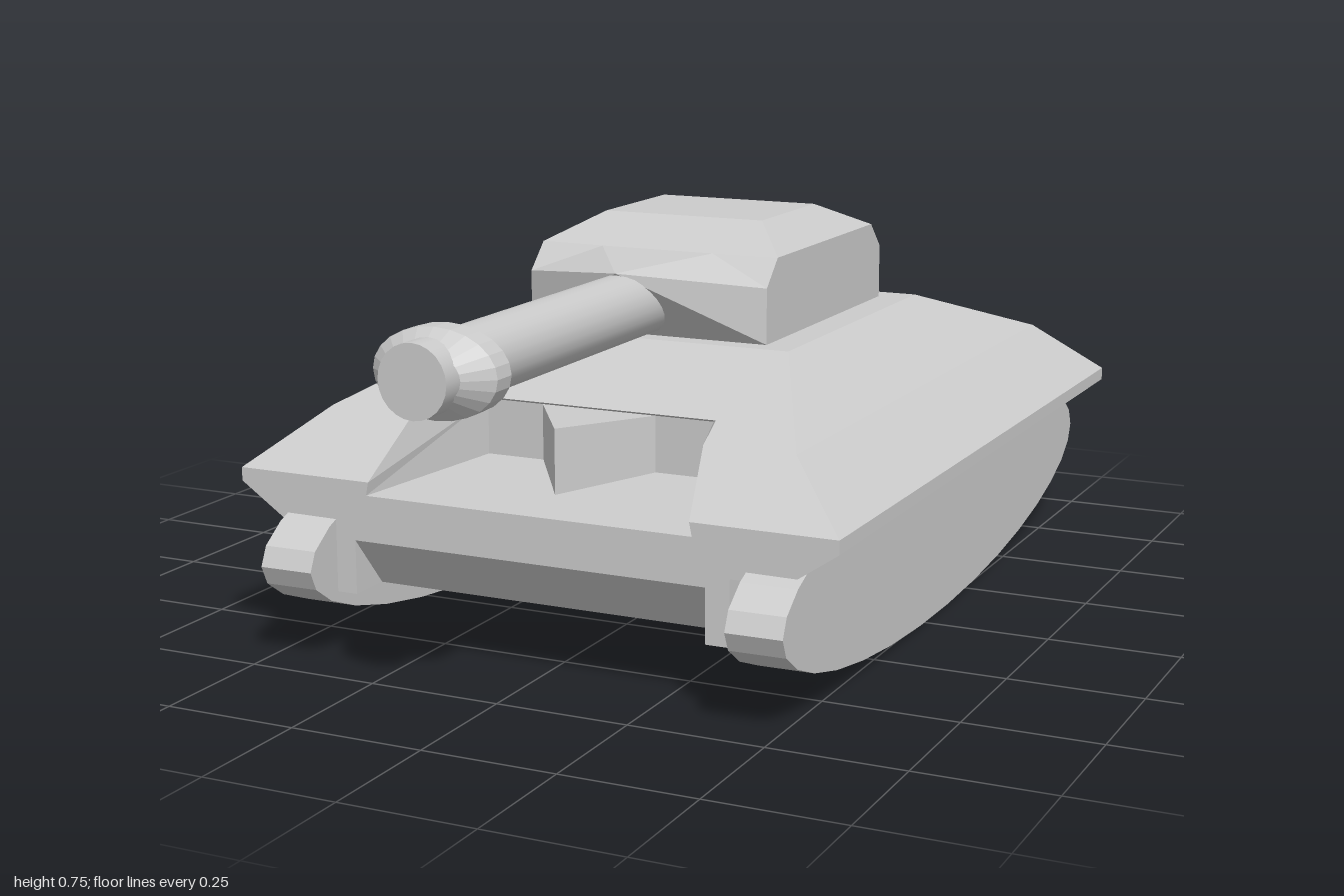
import * as THREE from 'three';

const material = new THREE.MeshStandardMaterial({ color: 0xcccccc, flatShading: true, side: THREE.DoubleSide });
const smooth = new THREE.MeshStandardMaterial({ color: 0xcccccc });

// Fan-triangulates polygons given for the +x half and mirrors them to -x
function mirroredShell(name, polygons) {
  const positions = [];
  for (const poly of polygons) {
    for (let i = 1; i < poly.length - 1; i++) {
      const tri = [poly[0], poly[i], poly[i + 1]];
      for (const p of tri) positions.push(...p);
      for (const [x, y, z] of tri.reverse()) positions.push(-x, y, z);
    }
  }
  const geometry = new THREE.BufferGeometry();
  geometry.setAttribute('position', new THREE.Float32BufferAttribute(positions, 3));
  geometry.computeVertexNormals();
  const mesh = new THREE.Mesh(geometry, material);
  mesh.name = name;
  return mesh;
}

const mid = ([, y, z]) => [0, y, z];

function createHull() {
  const polys = [];
  const zF = 0.645, zB = -0.905;

  // Side profile rows: x, y, front z, back z
  const rows = [
    [0.305, 0.545, 0.2, -0.47], [0.46, 0.44, 0.53, -0.79], [0.585, 0.335, zF, zB],
    [0.585, 0.31, zF, zB], [0.49, 0.245, zF, zB], [0.39, 0.245, zF, zB], [0.39, 0.125, zF, zB],
  ];
  const F = rows.map(([x, y, z]) => [x, y, z]);
  const B = rows.map(([x, y, , z]) => [x, y, z]);
  for (let i = 0; i < rows.length - 1; i++) {
    polys.push([F[i], F[i + 1], B[i + 1], B[i]]);
    if (i < 3) polys.push([B[i], B[i + 1], mid(B[i + 1]), mid(B[i])]);
  }
  polys.push([mid(B[0]), mid(F[0]), F[0], B[0]]);

  // Front plates around the notch
  const N = [[0.275, 0.465, 0.45], [0.288, 0.44, 0.53], [0.315, 0.335, zF], [0.32, 0.31, zF]];
  polys.push([mid(F[0]), mid(N[0]), N[0], F[0]]);
  for (let i = 0; i < 3; i++) polys.push([F[i], N[i], N[i + 1], F[i + 1]]);

  // Notch: outer wall, ceiling, floor, back wall and centre wedge
  const top = [0.23, 0.44, 0.36], low = [0.23, 0.335, 0.36];
  const wedge = [0.115, 0.44, 0.36], nose = [0, 0.44, 0.53];
  polys.push(
    [top, low, N[3], N[2], N[1], N[0]],
    [mid(N[0]), mid(top), top, N[0]],
    [mid(low), mid(N[3]), N[3], low],
    [mid(top), mid(low), low, top],
    [nose, [0, 0.32, 0.53], [0.115, 0.335, 0.36], wedge],
    [mid(wedge), nose, wedge],
  );

  // Lower end plates with a slanted middle between two cheeks
  for (const [z, s] of [[zF, 1], [zB, -1]]) {
    const zi = z - s * 0.085;
    const end = [
      [[0, 0.31, z], [0, 0.225, z], [0.345, 0.225, z], [0.345, 0.31, z]],
      [[0.345, 0.31, z], [0.345, 0.125, z], [0.39, 0.125, z], [0.39, 0.31, z]],
      [[0.39, 0.31, z], [0.39, 0.245, z], [0.49, 0.245, z], [0.585, 0.31, z]],
      [[0, 0.225, z], [0, 0.125, zi], [0.345, 0.125, zi], [0.345, 0.225, z]],
      [[0.345, 0.225, z], [0.345, 0.125, zi], [0.345, 0.125, z]],
    ];
    polys.push(...end.map((p) => (s > 0 ? p : p.reverse())));
  }

  // Belly with a shallow sunken panel
  const flat = (x0, x1, z0, z1, y = 0.125) =>
    polys.push([[x0, y, z0], [x0, y, z1], [x1, y, z1], [x1, y, z0]]);
  const pf = 0.18, pb = -0.45, px = 0.31, inset = 0.04, py = 0.215;
  flat(0.345, 0.39, zF, zB);
  flat(px, 0.345, zF - 0.085, zB + 0.085);
  flat(0, px, zF - 0.085, pf);
  flat(0, px, pb, zB + 0.085);
  flat(0, px - inset, pf - inset, pb + inset, py);
  const rim = [[0, 0.125, pf], [px, 0.125, pf], [px, 0.125, pb], [0, 0.125, pb]];
  const sunk = [[0, py, pf - inset], [px - inset, py, pf - inset], [px - inset, py, pb + inset], [0, py, pb + inset]];
  for (let i = 0; i < 3; i++) polys.push([rim[i], sunk[i], sunk[i + 1], rim[i + 1]]);

  return mirroredShell('hull', polys);
}

function createTurret() {
  const roofF = [0.165, 0.75, 0], roofB = [0.165, 0.75, -0.26];
  const edgeF = [0.245, 0.7, 0.11], edgeB = [0.245, 0.7, -0.37];
  const sideF = [0.245, 0.65, 0.16], sideB = [0.245, 0.65, -0.42];
  const baseF = [0.245, 0.545, 0.16], baseB = [0.245, 0.545, -0.42];
  const brow = [0.115, 0.7, 0.115], beak = [0, 0.68, 0.29], chin = [0, 0.555, 0.17];
  return mirroredShell('turret', [
    [mid(roofB), mid(roofF), roofF, roofB],
    [roofF, edgeF, edgeB, roofB],
    [edgeF, sideF, sideB, edgeB],
    [sideF, baseF, baseB, sideB],
    [roofB, edgeB, mid(edgeB), mid(roofB)],
    [edgeB, sideB, mid(sideB), mid(edgeB)],
    [sideB, baseB, mid(baseB), mid(sideB)],
    [mid(roofF), mid(brow), brow, roofF],
    [roofF, brow, edgeF],
    [mid(brow), beak, brow],
    [brow, beak, sideF, edgeF],
    [beak, chin, baseF, sideF],
    [chin, mid(baseF), baseF],
  ]);
}

function createGun() {
  const gun = new THREE.Group();
  gun.name = 'gun';
  gun.position.y = 0.613;
  const barrel = new THREE.Mesh(new THREE.CylinderGeometry(0.063, 0.063, 0.85, 24).rotateX(Math.PI / 2), smooth);
  barrel.name = 'barrel';
  barrel.position.z = 0.575;

  // Flattened collar near the muzzle
  const profile = [[0.046, 0.85], [0.077, 0.885], [0.077, 0.93], [0.046, 0.967]];
  const collar = new THREE.Mesh(
    new THREE.LatheGeometry(profile.map(([r, z]) => new THREE.Vector2(r, z)), 24).rotateX(Math.PI / 2), material);
  collar.name = 'muzzleCollar';
  collar.scale.x = 1.5;
  gun.add(barrel, collar);
  return gun;
}

export function createModel() {
  const tank = new THREE.Group();
  tank.name = 'tank';
  tank.add(createHull(), createTurret(), createGun());

  // Elliptical tracks, turned slightly off the hull axis
  const trackShape = new THREE.CylinderGeometry(1, 1, 0.103, 32).rotateZ(Math.PI / 2).scale(1, 0.18, 0.867);
  for (const [name, x] of [['leftTrack', 0.456], ['rightTrack', -0.451]]) {
    const track = new THREE.Mesh(trackShape, material);
    track.name = name;
    track.position.set(x, 0.182, -0.132);
    track.rotation.y = 0.019;
    tank.add(track);
  }
  return tank;
}
